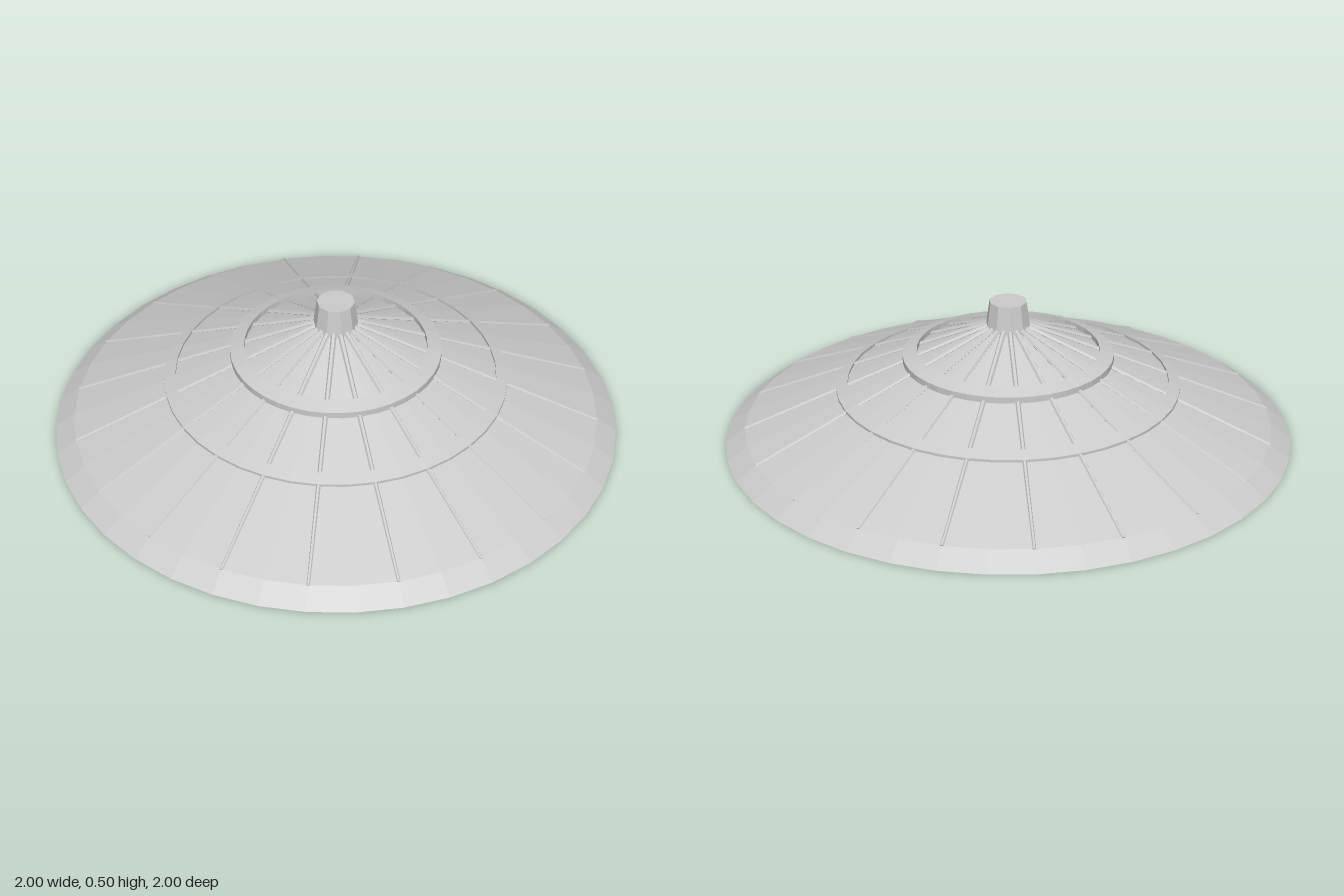
import * as THREE from 'three';

const SIDES = 40;
const RIBS = 20;

export function createModel() {
  const hat = new THREE.Group();
  hat.name = 'conicalHat';
  const material = new THREE.MeshStandardMaterial({ color: 0xcccccc, flatShading: true });

  const add = (name, geometry, parent = hat) => {
    const mesh = new THREE.Mesh(geometry, material);
    mesh.name = name;
    parent.add(mesh);
    return mesh;
  };
  // Turned part from [radius, height] pairs, upwards along the outside
  const turned = (name, points, sides = SIDES) =>
    add(name, new THREE.LatheGeometry(points.map(([r, y]) => new THREE.Vector2(r, y)), sides));

  // Thick cone with a hollow underside, flat brim edge and bevelled rim
  turned('cone', [[0, 0.34], [0.08, 0.335], [0.9, 0], [1, 0], [0.93, 0.05], [0.08, 0.405], [0, 0.405]]);

  // Raised bands lying on the slope
  turned('upperBand', [[0.32, 0.285], [0.37, 0.285], [0.37, 0.307], [0.32, 0.325], [0.32, 0.285]]);
  turned('lowerBand', [[0.565, 0.185], [0.605, 0.185], [0.605, 0.195], [0.565, 0.212], [0.565, 0.185]]);

  // Head ring under the cone, its top buried in the cone wall
  turned('headRing', [[0.196, 0.3], [0.196, 0.16], [0.265, 0.16], [0.265, 0.28], [0.196, 0.3]], 20);

  // Tapered ten-sided knob
  const knob = add('knob', new THREE.CylinderGeometry(0.066, 0.08, 0.1, 10));
  knob.position.y = 0.452;
  knob.rotation.y = Math.PI / 2;

  // Thin ribs running down the slope, sinking to a point near the rim
  const ribs = new THREE.Group();
  ribs.name = 'ribs';
  hat.add(ribs);
  const top = new THREE.Vector3(0.06, 0.415, 0);
  const tip = new THREE.Vector3(0.93, 0.049, 0);
  const span = top.clone().sub(tip);
  const ribGeometry = new THREE.CylinderGeometry(0.01, 0.006, span.length(), 6);
  ribGeometry.applyQuaternion(new THREE.Quaternion().setFromUnitVectors(
    new THREE.Vector3(0, 1, 0), span.normalize()));
  ribGeometry.translate((top.x + tip.x) / 2, (top.y + tip.y) / 2, 0);
  for (let i = 0; i < RIBS; i++) {
    add('rib', ribGeometry, ribs).rotation.y = (i / RIBS) * Math.PI * 2;
  }

  return hat;
}
